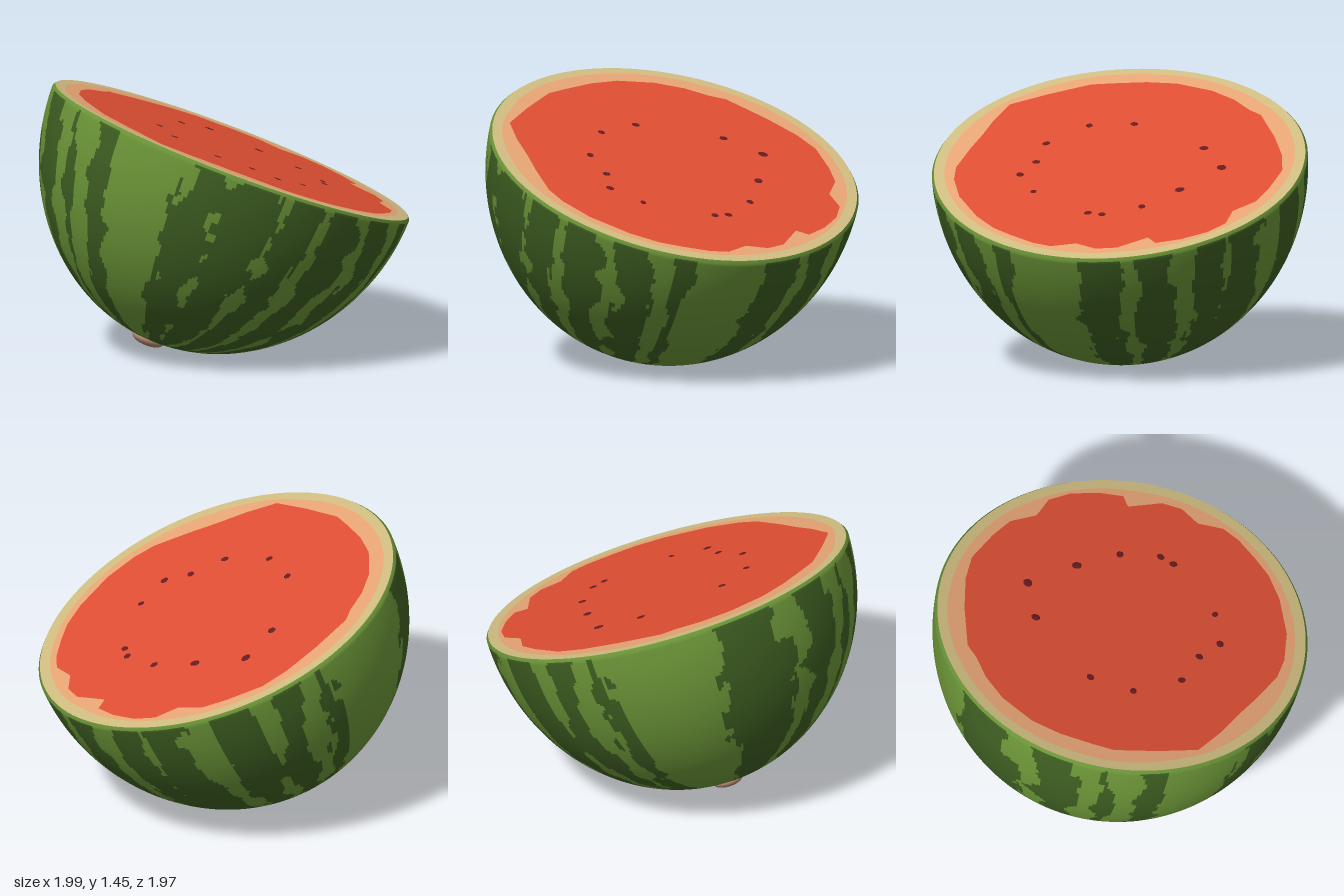
import * as THREE from 'three';

const mat = (name, color) => {
  const m = new THREE.MeshStandardMaterial({ color });
  m.name = name;
  return m;
};

// Cut plane: centre, slopes along x and z, and its own axes
const C = new THREE.Vector3(0.012, 1.09, -0.025);
const SX = -0.215, SZ = 0.326, DEPTH = 1.103, LIP = 0.988;
const N = new THREE.Vector3(-SX, 1, -SZ).normalize();
const U = new THREE.Vector3(1, SX, 0).normalize();
const V = new THREE.Vector3().crossVectors(U, N);
const TILT = new THREE.Quaternion().setFromUnitVectors(new THREE.Vector3(0, 1, 0), N);
const planeY = (x, z) => C.y + SX * (x - C.x) + SZ * (z - C.z);

// Point in melon coordinates; the rim flares slightly at its low corner
function onMelon(angle, r, depth) {
  const flare = Math.max(0, Math.cos(angle + Math.PI / 4)) ** 4;
  const radius = r * (1.004 + 0.025 * flare * r * r);
  return C.clone()
    .addScaledVector(U, Math.cos(angle) * radius)
    .addScaledVector(V, Math.sin(angle) * radius)
    .addScaledVector(N, -depth);
}

// Smooth value noise, periodic in x
const hash = (x, y) => {
  const s = Math.sin(x * 127.1 + y * 311.7) * 43758.5453;
  return s - Math.floor(s);
};
function noise(x, y, period) {
  const xi = Math.floor(x), yi = Math.floor(y);
  const sm = (f) => f * f * (3 - 2 * f);
  const fx = sm(x - xi), fy = sm(y - yi);
  const h = (a, b) => hash(((a % period) + period) % period, b);
  const lerp = THREE.MathUtils.lerp;
  return lerp(lerp(h(xi, yi), h(xi + 1, yi), fx), lerp(h(xi, yi + 1), h(xi + 1, yi + 1), fx), fy) * 2 - 1;
}

// Dark stripes: [longitude, half width, how broken up]
const STRIPES = [
  [149, 12, 0.6], [122, 6, 0.7], [106, 2, 1.7], [91, 4, 0.8], [55, 7, 0.8], [40, 7, 0.6],
  [22, 6, 0.6], [4, 5.5, 0.6], [-13, 6, 0.6], [-27, 2.2, 1.4], [-58, 5.5, 0.7], [-75, 6, 0.6],
  [-93, 6, 0.6], [-107, 7, 0.6], [-129, 6, 0.8], [-147, 4.5, 1.1], [-160, 2.5, 1.4],
];
function isDark(deg, t) {
  const wobble = noise(deg / 15, t * 5, 24) * 2;
  const rough = noise(deg / 5, t * 12, 72) * 0.7 + noise(deg / 2, t * 28, 180) * 0.4;
  return STRIPES.some(([c, w, broken]) => {
    const d = Math.abs(((deg - c + wobble + 540) % 360) - 180);
    return d < w * (1 + broken * rough + 0.15 * t);
  });
}

// Rind: half ellipsoid with a small rounded lip, its cells sorted into light and dark groups
function makeRind(materials) {
  const n = 360, rows = 110, pos = [], cells = [[], []];
  for (let j = 0; j <= rows; j++) {
    const a = (j / rows) * Math.PI / 2;
    for (let i = 0; i < n; i++) {
      const p = onMelon((i / n) * Math.PI * 2, j ? Math.cos(a) : LIP, DEPTH * Math.sin(a));
      pos.push(p.x, p.y, p.z);
    }
  }
  for (let j = 0; j < rows; j++) {
    for (let i = 0; i < n; i++) {
      const dark = j > 0 && isDark(((i + 0.5) / n) * 360, (j + 0.5) / rows);
      const a = j * n + i, b = j * n + (i + 1) % n, c = a + n, d = b + n;
      cells[dark ? 1 : 0].push(a, b, c, b, d, c);
    }
  }
  const g = new THREE.BufferGeometry();
  g.setAttribute('position', new THREE.Float32BufferAttribute(pos, 3));
  g.setIndex(cells.flat());
  g.addGroup(0, cells[0].length, 0);
  g.addGroup(cells[0].length, cells[1].length, 1);
  g.computeVertexNormals();
  return new THREE.Mesh(g, materials);
}

// Uneven outline of the red flesh as x, z pairs
const FLESH = [
  -0.25, -0.87, -0.13, -0.9, 0.02, -0.893, 0.15, -0.86, 0.165, -0.79, 0.35, -0.797, 0.45, -0.75,
  0.52, -0.65, 0.65, -0.605, 0.72, -0.525, 0.79, -0.4, 0.845, -0.285, 0.88, -0.13, 0.885, 0.1,
  0.845, 0.27, 0.79, 0.375, 0.65, 0.51, 0.54, 0.605, 0.43, 0.71, 0.3, 0.807, 0.09, 0.797,
  -0.15, 0.77, -0.26, 0.72, -0.42, 0.64, -0.555, 0.545, -0.69, 0.385, -0.76, 0.24, -0.79, 0.11,
  -0.825, 0.03, -0.805, -0.21, -0.77, -0.4, -0.715, -0.535, -0.58, -0.67, -0.475, -0.75, -0.33, -0.775,
];
// Seeds: x, z, size
const SEEDS = [
  [-0.443, -0.345, 1.2], [-0.435, -0.12, 1.05], [-0.165, -0.435, 1.15], [0.075, -0.487, 0.95],
  [0.29, -0.452, 0.95], [0.35, -0.4, 0.95], [0.522, -0.057, 0.8], [0.52, 0.135, 1],
  [0.397, 0.207, 0.95], [0.28, 0.35, 0.95], [0.012, 0.398, 0.9], [-0.203, 0.29, 0.95],
];

// Ring outline on the cut, in shape coordinates (x, -z)
function ring(r, wobble) {
  const pts = [];
  for (let i = 0; i < 180; i++) {
    const p = onMelon((i / 180) * Math.PI * 2, r + wobble * noise(i / 6, 3.5, 30), 0);
    pts.push(new THREE.Vector2(p.x, -p.z));
  }
  return pts;
}

// Flat region of the cut, laid on the sloping plane
function cutFace(name, outline, hole, material) {
  const shape = new THREE.Shape(outline);
  if (hole) shape.holes.push(new THREE.Path(hole));
  const g = new THREE.ShapeGeometry(shape);
  const p = g.attributes.position;
  for (let i = 0; i < p.count; i++) {
    const x = p.getX(i), z = -p.getY(i);
    p.setXYZ(i, x, planeY(x, z), z);
  }
  g.computeVertexNormals();
  const mesh = new THREE.Mesh(g, material);
  mesh.name = name;
  return mesh;
}

export function createModel() {
  const group = new THREE.Group();
  group.name = 'halfWatermelon';

  const rind = makeRind([mat('lightGreen', 0x699236), mat('darkGreen', 0x3c5b20)]);
  rind.name = 'rind';
  group.add(rind);

  // Blossom end: low rounded scar, slightly off the pole
  const scar = new THREE.Mesh(new THREE.SphereGeometry(1, 24, 12), mat('blossomBrown', 0xa8826a));
  scar.name = 'blossomEnd';
  scar.scale.set(0.09, 0.036, 0.085);
  scar.quaternion.copy(TILT);
  scar.position.copy(onMelon(Math.PI * 0.9, 0.05, DEPTH + 0.004));
  group.add(scar);

  // Cut face: pale rind ring, pink ring, red flesh
  const flesh = [];
  for (let i = 0; i < FLESH.length; i += 2) flesh.push(new THREE.Vector2(FLESH[i], -FLESH[i + 1]));
  const pink = ring(0.932, 0.006);
  group.add(
    cutFace('paleRind', ring(LIP, 0), pink, mat('paleTan', 0xcfbc80)),
    cutFace('pinkRing', pink, flesh, mat('pinkOrange', 0xe6a474)),
    cutFace('flesh', flesh, null, mat('red', 0xde4e33)),
  );

  // Seeds: thin ovals lying in the flesh
  const seedMat = mat('seedBrown', 0x661c20);
  const seedGeo = new THREE.SphereGeometry(1, 12, 8);
  const seeds = new THREE.Group();
  seeds.name = 'seeds';
  SEEDS.forEach(([x, z, size], i) => {
    const seed = new THREE.Mesh(seedGeo, seedMat);
    seed.name = 'seed';
    seed.scale.set(0.02 * size, 0.002, 0.023 * size);
    seed.position.set(x, planeY(x, z), z);
    seed.quaternion.copy(TILT).multiply(
      new THREE.Quaternion().setFromAxisAngle(new THREE.Vector3(0, 1, 0), i * 0.9));
    seeds.add(seed);
  });
  group.add(seeds);
  return group;
}
